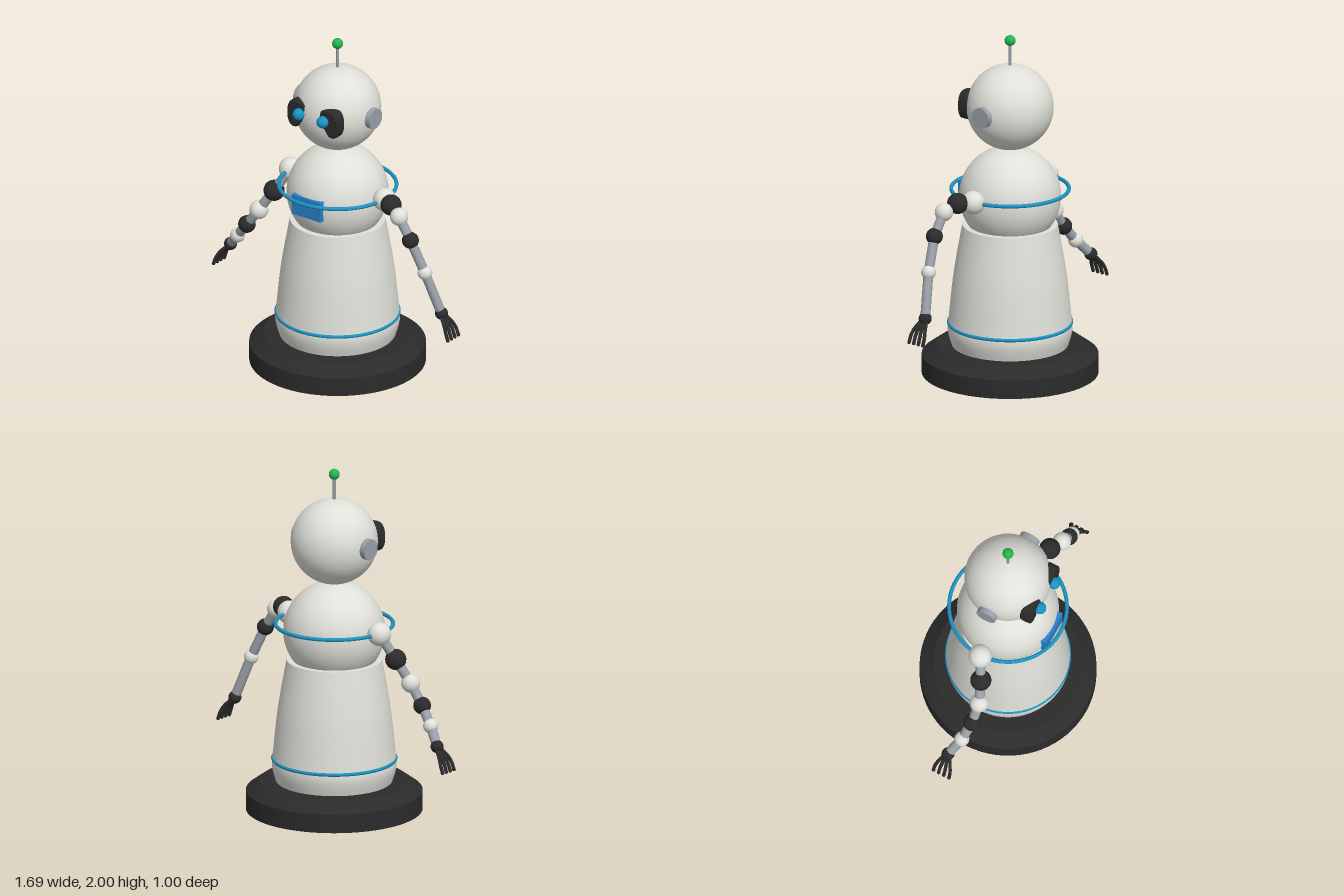
import * as THREE from 'three';

const mat = (name, color) => {
  const m = new THREE.MeshStandardMaterial({ color });
  m.name = name;
  return m;
};

export function createModel() {
  const white = mat('shellWhite', 0xe0e0da);
  const dark = mat('rubberBlack', 0x2b2b2b);
  const grey = mat('metalGrey', 0x9aa0a8);
  const cyan = mat('trimCyan', 0x1a93c4);
  const blue = mat('panelBlue', 0x2a82d0);
  const green = mat('beaconGreen', 0x22b850);

  const model = new THREE.Group();
  model.name = 'robot';

  const add = (parent, name, geo, material, x = 0, y = 0, z = 0) => {
    const m = new THREE.Mesh(geo, material);
    m.name = name;
    m.position.set(x, y, z);
    parent.add(m);
    return m;
  };
  const ball = (parent, name, r, material, p) =>
    add(parent, name, new THREE.SphereGeometry(r, 32, 20), material, ...p);
  // Cylinder running between two points
  const rod = (parent, name, a, b, r, material) => {
    const va = new THREE.Vector3(...a), vb = new THREE.Vector3(...b);
    const dir = vb.clone().sub(va);
    const m = add(parent, name, new THREE.CylinderGeometry(r, r, dir.length(), 20), material);
    m.position.copy(va).lerp(vb, 0.5);
    m.quaternion.setFromUnitVectors(new THREE.Vector3(0, 1, 0), dir.normalize());
    return m;
  };
  const ring = (name, y, r) => {
    add(model, name, new THREE.TorusGeometry(r, 0.011, 12, 80), cyan, 0, y, 0).rotation.x = Math.PI / 2;
  };

  // Base: straight drum with a bevelled top
  add(model, 'baseDrum', new THREE.CylinderGeometry(0.5, 0.5, 0.11, 72), dark, 0, 0.055, 0);
  add(model, 'baseBevel', new THREE.CylinderGeometry(0.42, 0.5, 0.058, 72), dark, 0, 0.139, 0);

  // Skirt: tapered body with a flat collar on top
  const skirt = new THREE.SplineCurve([
    [0.328, 0.16], [0.352, 0.25], [0.346, 0.34], [0.318, 0.6], [0.27, 0.88],
  ].map(p => new THREE.Vector2(...p))).getPoints(24);
  add(model, 'skirt', new THREE.LatheGeometry(skirt, 72), white);
  add(model, 'skirtCollar', new THREE.CircleGeometry(0.27, 72), white, 0, 0.88, 0).rotation.x = -Math.PI / 2;
  ring('skirtRing', 0.298, 0.346);

  // Torso, chest ring and chest panel
  add(model, 'torso', new THREE.SphereGeometry(0.289, 64, 40), white, 0, 1.047, 0);
  ring('chestRing', 1.09, 0.333);
  add(model, 'chestPanel', new THREE.BoxGeometry(0.208, 0.12, 0.045), blue, 0, 1.047, 0.272);

  // Head and antenna
  const head = new THREE.Group();
  head.name = 'head';
  model.add(head);
  add(head, 'skull', new THREE.SphereGeometry(0.247, 64, 40), white, 0, 1.576, 0);
  rod(head, 'antenna', [0, 1.8, 0], [0, 1.96, 0], 0.009, grey);
  ball(head, 'antennaTip', 0.031, green, [0, 1.969, 0]);

  for (const s of [1, -1]) {
    rod(head, 'ear', [s * 0.2, 1.575, 0], [s * 0.272, 1.575, 0], 0.06, grey);
    // Bean-shaped dark eye patch with a rounded rim
    const outline = [[0.068, 1.642], [0.1, 1.654], [0.145, 1.65], [0.167, 1.615], [0.168, 1.55],
      [0.15, 1.515], [0.12, 1.514], [0.095, 1.545], [0.063, 1.57], [0.058, 1.61]]
      .map(([x, y]) => new THREE.Vector2(s * x, y));
    const shape = new THREE.Shape(new THREE.SplineCurve([...outline, outline[0]]).getPoints(40));
    add(head, 'eyePatch', new THREE.ExtrudeGeometry(shape, {
      depth: 0.042, bevelEnabled: true, bevelThickness: 0.014, bevelSize: 0.012, bevelSegments: 4,
    }), dark, 0, 0, 0.182);
    ball(head, 'eye', 0.035, cyan, [s * 0.085, 1.595, 0.25]);
  }

  // Arms: chains of alternating white and dark joints linked by rods
  const arms = {
    leftArm: [[0.335, 1.09, 0, 0.067], [0.417, 1.097, 0.047, 0.06], [0.5, 1.06, 0.08, 0.052],
      [0.583, 0.937, 0.083, 0.048], [0.667, 0.75, 0.058, 0.042], [0.752, 0.505, 0.015, 0.037]],
    rightArm: [[-0.335, 1.09, 0, 0.067], [-0.417, 0.947, 0.047, 0.06], [-0.5, 0.815, 0.08, 0.054],
      [-0.585, 0.7, 0.08, 0.05], [-0.668, 0.6, 0.058, 0.043], [-0.752, 0.505, 0.015, 0.037]],
  };
  for (const [name, joints] of Object.entries(arms)) {
    const arm = new THREE.Group();
    arm.name = name;
    model.add(arm);
    joints.forEach(([x, y, z, r], i) => {
      ball(arm, i === 5 ? 'hand' : 'joint', r, i % 2 ? dark : white, [x, y, z]);
      if (i) rod(arm, 'armLink', joints[i - 1].slice(0, 3), [x, y, z], 0.028, grey);
    });
    // Four curved fingers fanned front to back
    const [hx, hy, hz] = joints[5];
    const s = Math.sign(hx);
    for (const f of [-1.5, -0.5, 0.5, 1.5]) {
      const path = new THREE.CatmullRomCurve3([
        new THREE.Vector3(hx, hy, hz + f * 0.008),
        new THREE.Vector3(hx + s * 0.048, hy - 0.053, hz + f * 0.025),
        new THREE.Vector3(hx + s * 0.068, hy - 0.09, hz + f * 0.032),
        new THREE.Vector3(hx + s * 0.083, hy - 0.13, hz + f * 0.033),
      ]);
      add(arm, 'finger', new THREE.TubeGeometry(path, 14, 0.01, 10), dark);
      ball(arm, 'fingertip', 0.0105, dark, path.getPoint(1).toArray());
    }
  }

  return model;
}
